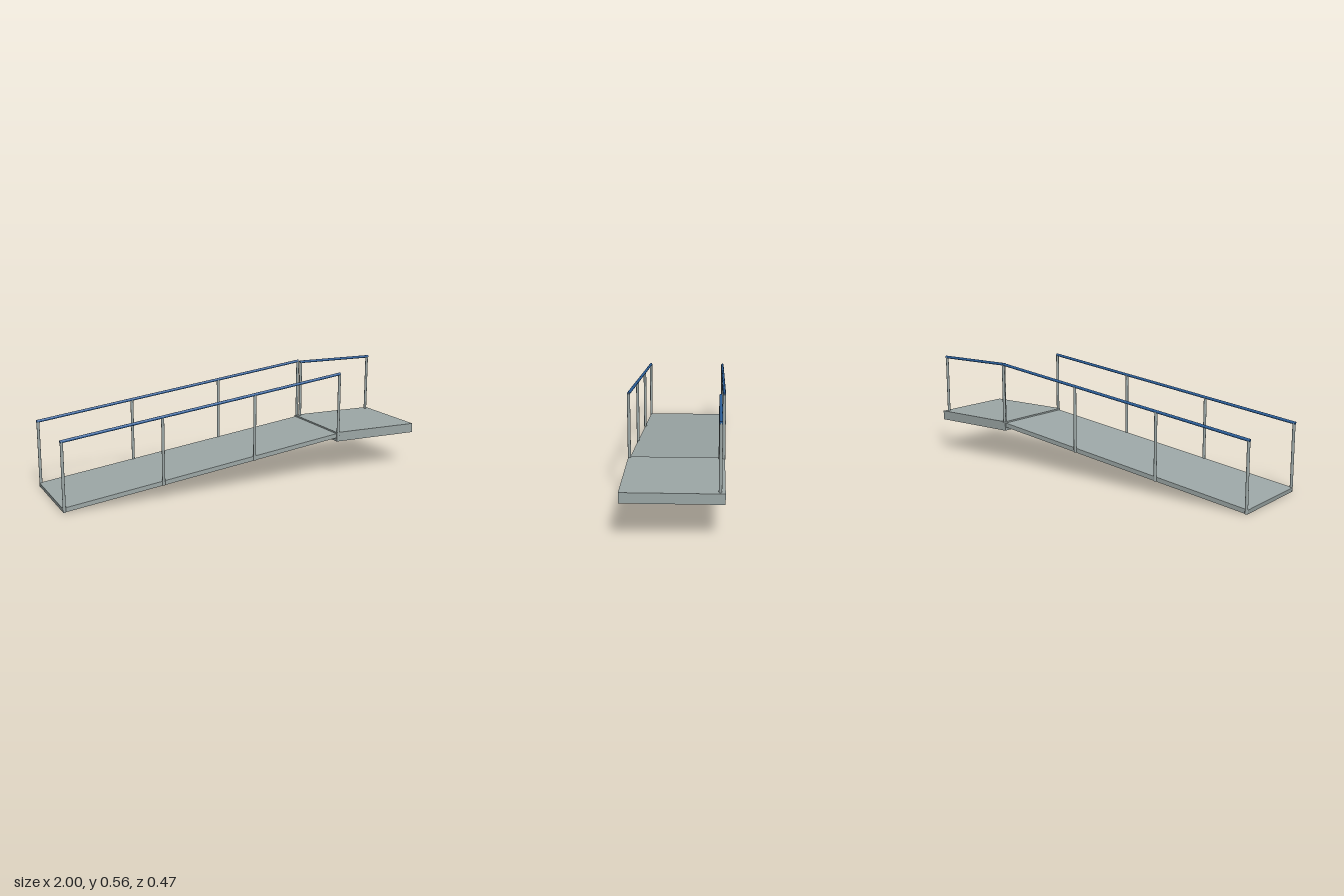
import * as THREE from 'three';

const RADIUS = 0.0075;

export function createModel() {
  const model = new THREE.Group();
  model.name = 'accessRamp';
  const deckGrey = new THREE.MeshStandardMaterial({ color: 0x9ca7a6 });
  deckGrey.name = 'deck grey';
  const railBlue = new THREE.MeshStandardMaterial({ color: 0x2b609c });
  railBlue.name = 'rail blue';

  function add(name, geometry, material, parent = model) {
    const mesh = new THREE.Mesh(geometry, material);
    mesh.name = name;
    parent.add(mesh);
    return mesh;
  }

  // Round bar between two points
  function bar(name, from, to, material, parent) {
    const dir = to.clone().sub(from);
    const mesh = add(name, new THREE.CylinderGeometry(RADIUS, RADIUS, dir.length(), 20), material, parent);
    mesh.position.copy(from).add(to).multiplyScalar(0.5);
    mesh.quaternion.setFromUnitVectors(new THREE.Vector3(0, 1, 0), dir.normalize());
  }

  // Level platform
  add('platform', new THREE.BoxGeometry(0.49, 0.05, 0.466), deckGrey).position.set(0.755, 0.208, 0);

  // Sloping ramp deck
  const side = new THREE.Shape([
    new THREE.Vector2(-0.995, 0), new THREE.Vector2(0.513, 0.202),
    new THREE.Vector2(0.51, 0.225), new THREE.Vector2(-0.998, 0.022),
  ]);
  const deck = new THREE.ExtrudeGeometry(side, { depth: 0.454, bevelEnabled: false });
  deck.translate(0, 0, -0.227);
  add('rampDeck', deck, deckGrey);

  // Handrails with posts on both sides of the ramp
  const floorY = (x) => 0.0015 + (x + 0.99) * 0.1345;
  const railY = (x) => 0.349 + (x + 0.99) * 0.1333;
  for (const s of [1, -1]) {
    const rail = new THREE.Group();
    rail.name = s > 0 ? 'frontRampRailing' : 'backRampRailing';
    model.add(rail);
    const z = s * 0.227;
    for (const x of [-0.99, -0.484, 0.019, 0.52]) {
      bar('rampPost', new THREE.Vector3(x, floorY(x), z), new THREE.Vector3(x, railY(x), z), deckGrey, rail);
    }
    bar('rampHandrail', new THREE.Vector3(-0.998, railY(-0.998), z),
      new THREE.Vector3(0.523, railY(0.523), z), railBlue, rail);
  }

  // Railing along the back of the platform
  const platformRail = new THREE.Group();
  platformRail.name = 'platformRailing';
  model.add(platformRail);
  for (const x of [0.531, 0.978]) {
    bar('platformPost', new THREE.Vector3(x, 0.23, -0.21), new THREE.Vector3(x, 0.547, -0.21), deckGrey, platformRail);
  }
  bar('platformHandrail', new THREE.Vector3(0.524, 0.547, -0.21),
    new THREE.Vector3(0.985, 0.547, -0.21), railBlue, platformRail);

  return model;
}
